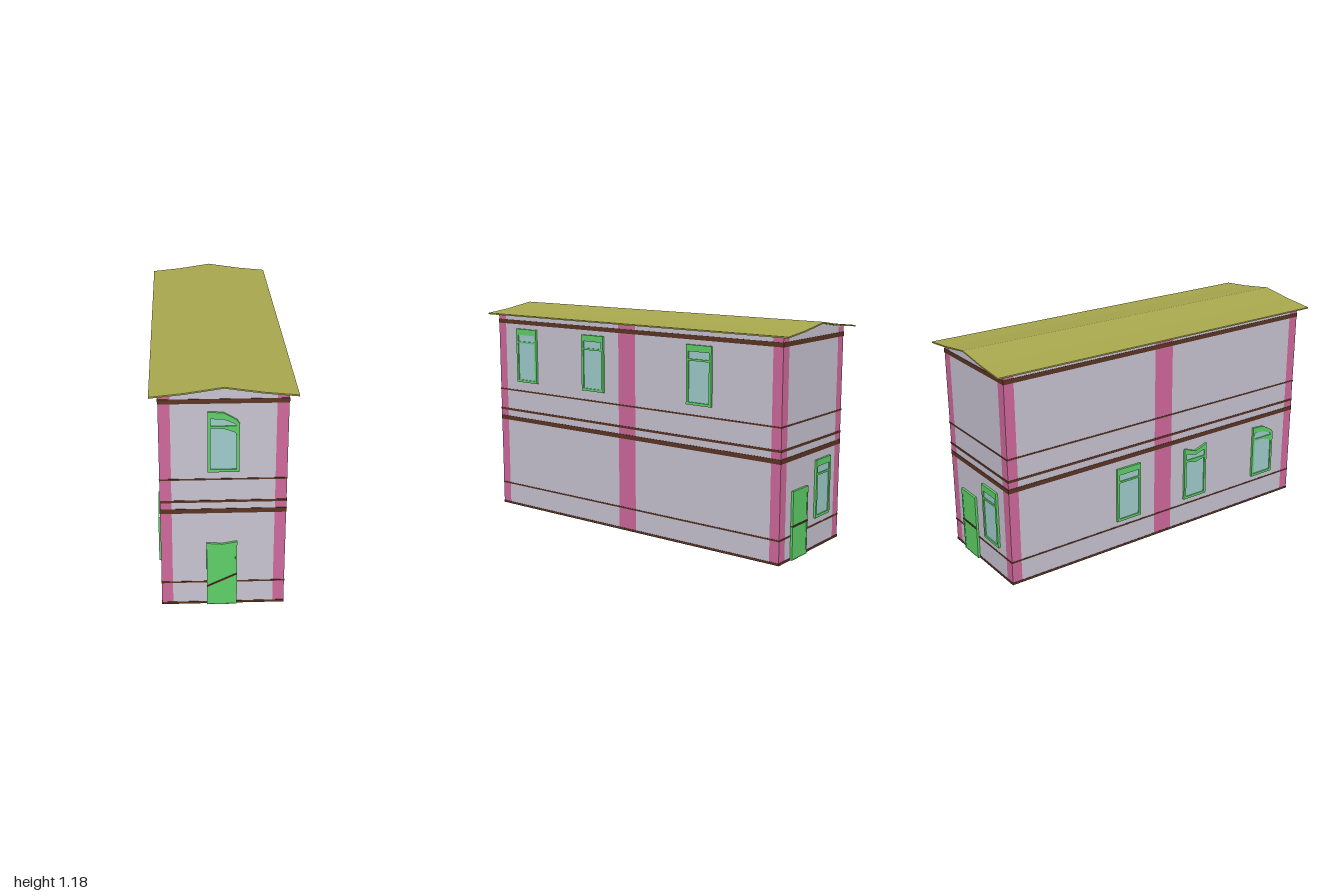
import * as THREE from 'three';

const mat = (color, side = THREE.FrontSide) =>
  new THREE.MeshStandardMaterial({ color, side, flatShading: true });
const WALL = mat(0xc8c3d2, THREE.DoubleSide);
const PINK = mat(0xd0699c, THREE.DoubleSide);
const BROWN = mat(0x5c3524);
const GREEN = mat(0x5fd068);
const GLASS = mat(0xa0cccc, THREE.DoubleSide);
const ROOF = mat(0xa8a84e, THREE.DoubleSide);

const HX = 0.3, HZ = 0.952, EAVE = 1.128;
// horizontal string courses: [bottom, top]
const BANDS = [[0, 0.012], [0.122, 0.13], [0.51, 0.534], [0.568, 0.58], [0.687, 0.695], [1.077, 1.1]];
// opening top edges: [x as a fraction of half width, rise]
const FLAT = [[-1, 0], [1, 0]];
const CHAMFER = [[-1, 0], [0, -0.005], [0.5, -0.026], [0.85, -0.042], [1, -0.06]];
const NOTCH = [[-1, 0], [0, -0.028], [1, 0]];
const DIP = [[-1, -0.006], [0, -0.012], [1, 0]];

function add(parent, name, geometry, material, x = 0, y = 0, z = 0) {
  const m = new THREE.Mesh(geometry, material);
  m.name = name;
  m.position.set(x, y, z);
  parent.add(m);
  return m;
}

// upright outline with a straight sill and a shaped top
function outline(half, y0, y1, top, k = 1, Type = THREE.Shape) {
  const pts = [[-half, y0], [half, y0]];
  [...top].reverse().forEach(([u, d]) => pts.push([u * half, y1 + d * k]));
  return new Type(pts.map(([x, y]) => new THREE.Vector2(x, y)));
}

const extrude = (shape, depth) => new THREE.ExtrudeGeometry(shape, { depth, bevelEnabled: false });

// framed window with a main pane, a crossbar and a fanlight
function addWindow(wall, x, y, top = FLAT, half = 0.074) {
  const g = new THREE.Group();
  g.name = 'window';
  g.position.set(x, y, 0);
  wall.add(g);
  const H = 0.306, inner = half - 0.014;
  const frame = outline(half, 0, H, top);
  frame.holes.push(
    outline(inner, 0.014, H - 0.081, top, 0.5, THREE.Path),
    outline(inner, H - 0.071, H - 0.034, top, 0.6, THREE.Path));
  add(g, 'windowFrame', extrude(frame, 0.012), GREEN);
  add(g, 'windowGlass', new THREE.ShapeGeometry(outline(half - 0.005, 0.005, H - 0.02, top, 0.8)), GLASS, 0, 0, 0.006);
}

// door with a raised border and a rail that may slope
function addDoor(wall, x, top, railLeft, railRight) {
  const g = new THREE.Group();
  g.name = 'door';
  g.position.x = x;
  wall.add(g);
  const half = 0.0735, H = 0.355;
  const frame = outline(half, 0, H, top);
  frame.holes.push(outline(half - 0.009, 0.002, H - 0.03, top, 1, THREE.Path));
  add(g, 'doorFrame', extrude(frame, 0.012), GREEN);
  add(g, 'doorLeaf', extrude(outline(half - 0.004, 0.001, H - 0.02, top), 0.01), GREEN);
  const t = 0.004;
  const rail = new THREE.Shape([[-half, railLeft - t], [half, railRight - t], [half, railRight + t], [-half, railLeft + t]]
    .map(([a, b]) => new THREE.Vector2(a, b)));
  add(g, 'doorRail', extrude(rail, 0.014), BROWN);
}

// one wall in its own frame, facing local +z; pilasters are [from, to] spans
function makeWall(name, half, pilasters, angle, offset) {
  const g = new THREE.Group();
  g.name = name;
  g.rotation.y = angle;
  g.position.set(Math.sin(angle) * offset, 0, Math.cos(angle) * offset);
  const column = (a, b, label, m) =>
    add(g, label, new THREE.PlaneGeometry(b - a, EAVE), m, (a + b) / 2, EAVE / 2);
  let from = -half;
  for (const [a, b] of pilasters) {
    if (a > from) column(from, a, 'wallPanel', WALL);
    column(a, b, 'pilaster', PINK);
    from = b;
  }
  for (const [a, b] of BANDS)
    add(g, 'stringCourse', new THREE.BoxGeometry(2 * half + 0.004, b - a, 0.004), BROWN, 0, (a + b) / 2);
  return g;
}

export function createModel() {
  const model = new THREE.Group();
  model.name = 'house';

  const ends = (h) => [[-h, -h + 0.055], [h - 0.055, h]];
  const [s0, s1] = ends(HZ);
  const sidePilasters = [s0, [-0.057, 0.057], s1];
  const front = makeWall('frontWall', HX, ends(HX), 0, HZ);
  const back = makeWall('backWall', HX, ends(HX), Math.PI, HZ);
  const left = makeWall('leftWall', HZ, sidePilasters, Math.PI / 2, HX);
  const right = makeWall('rightWall', HZ, sidePilasters, -Math.PI / 2, HX);
  model.add(front, back, left, right);

  // openings
  addWindow(front, 0, 0.733, CHAMFER);
  addDoor(front, -0.006, DIP, 0.105, 0.175);
  addDoor(back, -0.118, FLAT, 0.175, 0.175);
  addWindow(back, 0.112, 0.164);
  for (const z of [0.728, 0.232, -0.472]) addWindow(left, -z, 0.746, FLAT, 0.077);
  addWindow(right, 0.727, 0.161, CHAMFER, 0.077);
  addWindow(right, 0.222, 0.161, NOTCH, 0.077);
  addWindow(right, -0.232, 0.161, FLAT, 0.077);

  // roof slab with a shallow kick at the eaves
  const slope = [[-0.34, 1.126], [-0.18, 1.142], [0, 1.169], [0.18, 1.142], [0.34, 1.126]];
  const v = ([x, y], up = 0) => new THREE.Vector2(x, y + up);
  const roof = new THREE.Shape([...slope.map((p) => v(p)), ...[...slope].reverse().map((p) => v(p, 0.007))]);
  add(model, 'roof', extrude(roof, 2), ROOF, 0, 0, -1);

  // gable infill under the roof at both ends
  const gable = new THREE.Shape([[-HX, EAVE], [HX, EAVE], [HX, 1.13], ...slope.slice(1, 4).reverse(), [-HX, 1.13]]
    .map((p) => v(p)));
  for (const z of [HZ, -HZ]) add(model, 'gable', new THREE.ShapeGeometry(gable), WALL, 0, 0, z);

  return model;
}
